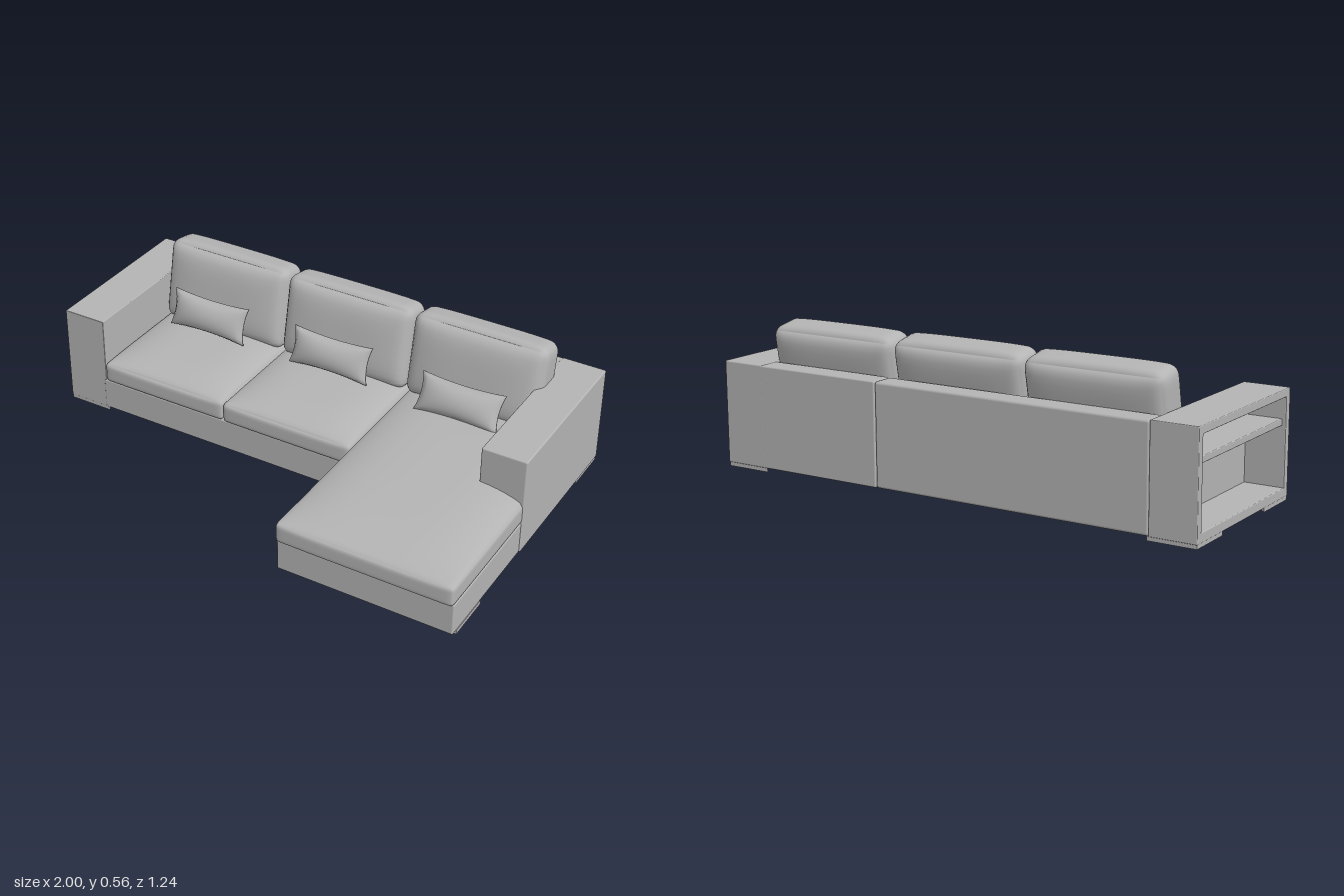
import * as THREE from 'three';
import { mergeVertices } from 'three/addons/utils/BufferGeometryUtils.js';
import { RoundedBoxGeometry } from 'three/addons/geometries/RoundedBoxGeometry.js';

const fabric = new THREE.MeshStandardMaterial({ name: 'grey fabric', color: 0xb4b4b4 });

// Move every vertex of a finely divided box by a rule, then smooth it
function warpedBox(segments, rule) {
  let geo = new THREE.BoxGeometry(2, 2, 2, ...segments);
  geo.deleteAttribute('uv');
  geo.deleteAttribute('normal');
  const pos = geo.attributes.position;
  const p = new THREE.Vector3();
  for (let i = 0; i < pos.count; i++) {
    p.fromBufferAttribute(pos, i);
    rule(p);
    pos.setXYZ(i, p.x, p.y, p.z);
  }
  geo = mergeVertices(geo, 1e-5);
  geo.computeVertexNormals();
  return geo;
}

// Rounded cushion; puff gives the swelling of its top, front and back
function cushionGeometry(w, h, d, r, puff) {
  const half = new THREE.Vector3(w / 2, h / 2, d / 2);
  const inner = half.clone().subScalar(r);
  const low = inner.clone().negate();
  const core = new THREE.Vector3();
  const swell = (a, b) => (1 - a ** 4) * (1 - b ** 4);
  return warpedBox([24, 16, 24], (p) => {
    // crowd the grid towards the edges
    p.set(...p.toArray().map((c) => Math.sin(c * Math.PI / 2)));
    const u = p.clone();
    p.multiply(half);
    core.copy(p).clamp(low, inner);
    p.sub(core).setLength(r).add(core);
    if (u.y > 0) p.y += puff.top * u.y * swell(u.x, u.z);
    p.z += (u.z > 0 ? puff.front : puff.back) * u.z * swell(u.x, u.y);
  });
}

// Scatter pillow with pointed corners and drawn-in sides
function pillowGeometry(w, h, t) {
  return warpedBox([24, 16, 1], (p) => {
    const { x: u, y: v, z: side } = p;
    const bulge = Math.sqrt(Math.max(0, (1 - u * u) * (1 - v * v)));
    p.x = u * w / 2 * (1 - 0.07 * (1 - v * v));
    p.y = v * h / 2 * (1 - 0.14 * (1 - u * u));
    p.z = side * (0.003 + t / 2 * bulge);
  });
}

export function createModel() {
  const sofa = new THREE.Group();
  sofa.name = 'cornerSofa';

  function add(name, geo, parent = sofa) {
    const mesh = new THREE.Mesh(geo, fabric);
    mesh.name = name;
    parent.add(mesh);
    return mesh;
  }
  // Softly edged block given by its limits
  function block(name, x0, x1, y0, y1, z0, z1, r = 0.006, parent = sofa) {
    const geo = new RoundedBoxGeometry(x1 - x0, y1 - y0, z1 - z0, 3, r);
    add(name, geo, parent).position.set((x0 + x1) / 2, (y0 + y1) / 2, (z0 + z1) / 2);
  }

  // Bases and backs
  block('mainBase', -0.83, 0.297, 0.015, 0.145, -0.6, 0.078);
  block('chaiseBase', 0.297, 0.993, 0.015, 0.145, -0.6, 0.6);
  block('mainBack', -0.82, 0.296, 0.015, 0.408, -0.622, -0.53, 0.01);
  block('chaiseBack', 0.298, 0.83, 0.015, 0.408, -0.622, -0.53);
  block('leftArm', 0.82, 0.998, 0.015, 0.41, -0.622, 0.076);

  // Right arm: a bookcase open to the outside
  const shelfArm = new THREE.Group();
  shelfArm.name = 'shelfArm';
  sofa.add(shelfArm);
  const board = (name, ...limits) => block(name, ...limits, 0.003, shelfArm);
  board('innerPanel', -0.845, -0.82, 0.015, 0.41, -0.622, 0.076);
  board('topBoard', -1, -0.822, 0.38, 0.41, -0.622, 0.076);
  board('bottomBoard', -1, -0.822, 0.015, 0.05, -0.622, 0.076);
  board('frontPanel', -1, -0.822, 0.015, 0.41, 0.046, 0.076);
  board('backPanel', -1, -0.822, 0.015, 0.41, -0.622, -0.592);
  board('shelf', -0.985, -0.83, 0.275, 0.3, -0.6, 0.06);

  // Seat cushions
  const seat = (name, x0, x1, z1, crown) => {
    const z0 = -0.52;
    const geo = cushionGeometry(x1 - x0, 0.085, z1 - z0, 0.018, { top: crown, front: 0.004, back: 0 });
    add(name, geo).position.set((x0 + x1) / 2, 0.184, (z0 + z1) / 2);
  };
  seat('rightSeatCushion', -0.819, -0.267, 0.084, 0.036);
  seat('middleSeatCushion', -0.265, 0.295, 0.086, 0.036);
  seat('chaiseCushion', 0.297, 0.994, 0.616, 0.043);

  // Leaning back cushions, each with a scatter pillow
  const backGeo = cushionGeometry(0.553, 0.335, 0.145, 0.04, { top: 0.008, front: 0.028, back: 0.02 });
  const pillowGeo = pillowGeometry(0.345, 0.15, 0.09);
  [-0.543, 0.015, 0.572].forEach((x, i) => {
    const back = add('backCushion', backGeo);
    back.position.set(x, 0.384, -0.432 - (i === 0 ? 0.006 : 0));
    back.rotation.x = -0.19;
    const pillow = add('scatterPillow', pillowGeo);
    pillow.position.set([-0.557, 0.003, 0.57][i], i === 2 ? 0.322 : 0.337, i === 2 ? -0.262 : -0.28);
    pillow.rotation.x = i === 2 ? -0.5 : -0.32;
  });

  // Low triangular feet under the corners
  const feet = [[-0.998, 0.074, 1, -1], [-0.998, -0.618, 1, 1], [0.994, -0.618, -1, 1],
    [0.3, 0.572, 1, -1], [0.994, 0.572, -1, -1]];
  for (const [x, z, sx, sz] of feet) {
    const s = 0.185;
    const shape = new THREE.Shape([
      new THREE.Vector2(x, z), new THREE.Vector2(x + sx * s, z), new THREE.Vector2(x, z + sz * s)]);
    const geo = new THREE.ExtrudeGeometry(shape, { depth: 0.017, bevelEnabled: false });
    add('foot', geo.rotateX(Math.PI / 2)).position.y = 0.017;
  }
  return sofa;
}
